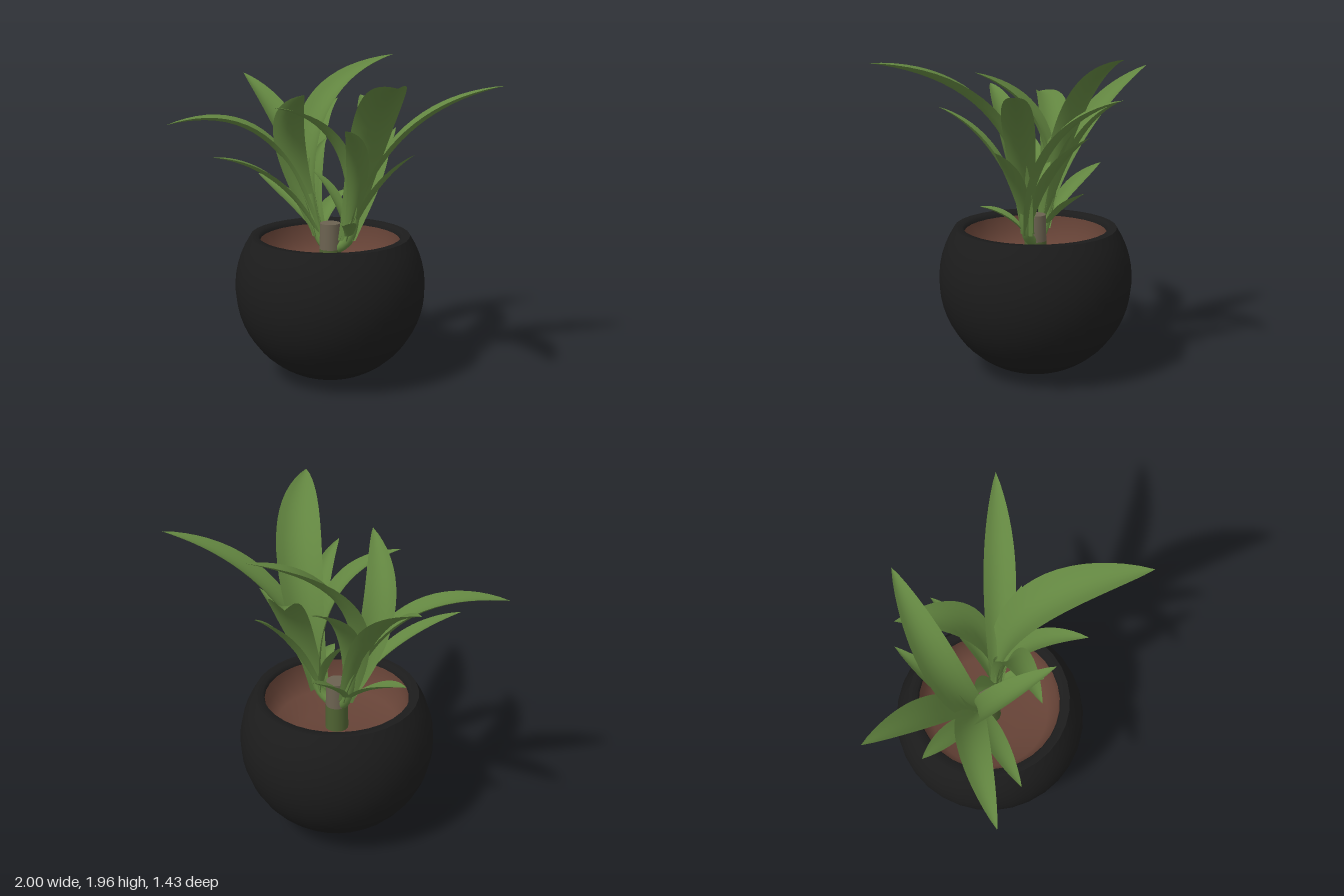
import * as THREE from 'three';

const mat = (name, color, side = THREE.FrontSide) => {
  const m = new THREE.MeshStandardMaterial({ color, side });
  m.name = name;
  return m;
};
const V = (x, y, z) => new THREE.Vector3(x, y, z);

// A channelled, pointed blade arching from base through mid to tip
function leafGeometry(base, mid, tip, width) {
  const rows = 22, cols = 6;
  const control = mid.clone().multiplyScalar(2).addScaledVector(base, -0.5).addScaledVector(tip, -0.5);
  const curve = new THREE.QuadraticBezierCurve3(base, control, tip);
  const heading = tip.clone().sub(base).setY(0).normalize();
  const side = V(heading.z, 0, -heading.x);
  const geo = new THREE.PlaneGeometry(1, 1, cols, rows);
  const pos = geo.attributes.position;
  for (let r = 0; r <= rows; r++) {
    const t = r / rows;
    const centre = curve.getPointAt(t);
    const normal = curve.getTangentAt(t).cross(side).normalize();
    const bulge = Math.max(0, Math.sin(Math.PI * t ** 1.35)) ** 0.85;
    const w = width * Math.max(0.45 * (1 - t) ** 2 + 0.95 * bulge, 0.004);
    const cup = 0.26 - 0.1 * t; // deepest channel at the base
    for (let c = 0; c <= cols; c++) {
      const u = (c / cols) * 2 - 1;
      const p = centre.clone()
        .addScaledVector(side, u * w / 2)
        .addScaledVector(normal, (u * u - 0.4) * w * cup);
      pos.setXYZ(r * (cols + 1) + c, p.x, p.y, p.z);
    }
  }
  geo.computeVertexNormals();
  return geo;
}

export function createModel() {
  const model = new THREE.Group();
  const black = mat('pot black', 0x1c1c1c);
  const brown = mat('soil brown', 0x654236, THREE.DoubleSide);
  const bark = mat('bark', 0x6b6250);
  const stemGreen = mat('stem green', 0x4f6232);
  const green = mat('leaf green', 0x628540, THREE.DoubleSide);
  const add = (name, geo, material, parent = model) => {
    const mesh = new THREE.Mesh(geo, material);
    mesh.name = name;
    parent.add(mesh);
    return mesh;
  };

  // Pot: a ball cut open at the top, with a flat rim
  const cx = -0.04, cz = -0.135, R = 0.585, rimY = 0.905;
  const lathe = (name, points, material) =>
    add(name, new THREE.LatheGeometry(points.map(([r, y]) => new THREE.Vector2(r, y)), 32), material)
      .position.set(cx, 0, cz);
  const end = Math.asin((rimY - R) / R);
  const ball = [];
  for (let i = 0; i <= 20; i++) {
    const a = -Math.PI / 2 + (end + Math.PI / 2) * (i / 20);
    ball.push([Math.max(0, R * Math.cos(a)), R + R * Math.sin(a)]);
  }
  lathe('pot', ball, black);
  lathe('rim', [[0.49, rimY], [0.44, rimY], [0.43, 0.875]], black);

  // Brown lining and soil
  lathe('soil', [[0.43, 0.875], [0.42, 0.78], [0.36, 0.7], [0.2, 0.67], [0, 0.66]], brown);

  // Cut trunk
  add('trunkTop', new THREE.CylinderGeometry(0.062, 0.067, 0.16, 16), bark).position.set(cx, 0.9, cz);
  add('trunkBase', new THREE.CylinderGeometry(0.067, 0.07, 0.18, 16), stemGreen).position.set(cx, 0.73, cz);

  // A shoot: a short stem off the trunk carrying leaves
  const addShoot = (name, base, crown, leaves) => {
    const shoot = new THREE.Group();
    shoot.name = name;
    model.add(shoot);
    const stem = new THREE.CatmullRomCurve3([V(cx, 0.8, cz), base, crown]);
    add('stem', new THREE.TubeGeometry(stem, 12, 0.032, 10), green, shoot);
    for (const [mx, my, mz, tx, ty, tz, width] of leaves) {
      add('leaf', leafGeometry(base, V(mx, my, mz), V(tx, ty, tz), width), green, shoot);
    }
  };

  // Each leaf: middle point, tip, width
  addShoot('rightShoot', V(-0.11, 0.88, -0.17), V(-0.18, 1.14, -0.21), [
    [-0.34, 1.46, -0.37, -0.71, 1.82, -0.7, 0.19],
    [-0.17, 1.6, -0.36, 0.265, 1.957, -0.7, 0.22],
    [-0.46, 1.5, -0.16, -1, 1.588, 0.065, 0.18],
    [-0.29, 1.47, -0.11, -0.12, 1.815, 0.26, 0.19],
    [-0.37, 1.25, -0.06, -0.7, 1.417, 0.155, 0.12],
    [-0.32, 1.08, -0.29, -0.56, 1.215, -0.44, 0.12],
    [-0.09, 1.02, -0.29, 0, 1.13, -0.44, 0.11],
    [-0.18, 1.41, -0.36, -0.08, 1.68, -0.645, 0.14],
    [-0.17, 1.24, -0.24, -0.095, 1.475, -0.35, 0.09],
  ]);
  addShoot('leftShoot', V(0.075, 0.88, -0.11), V(0.13, 1.14, -0.1), [
    [0.27, 1.63, 0.07, 0.475, 1.925, 0.715, 0.26],
    [0.4, 1.53, -0.13, 0.995, 1.83, -0.24, 0.18],
    [0.2, 1.44, -0.28, 0.06, 1.7, -0.67, 0.21],
    [0.03, 1.47, 0, -0.31, 1.73, 0.21, 0.16],
    [0.16, 1.38, 0.07, 0.145, 1.64, 0.41, 0.13],
    [0.26, 1.22, -0.08, 0.495, 1.445, -0.015, 0.11],
    [0.2, 1.26, -0.27, 0.31, 1.52, -0.52, 0.12],
    [-0.01, 1.13, -0.15, -0.16, 1.29, -0.2, 0.1],
    [0.1, 1.0, 0.02, 0.09, 1.04, 0.18, 0.09],
  ]);
  return model;
}
